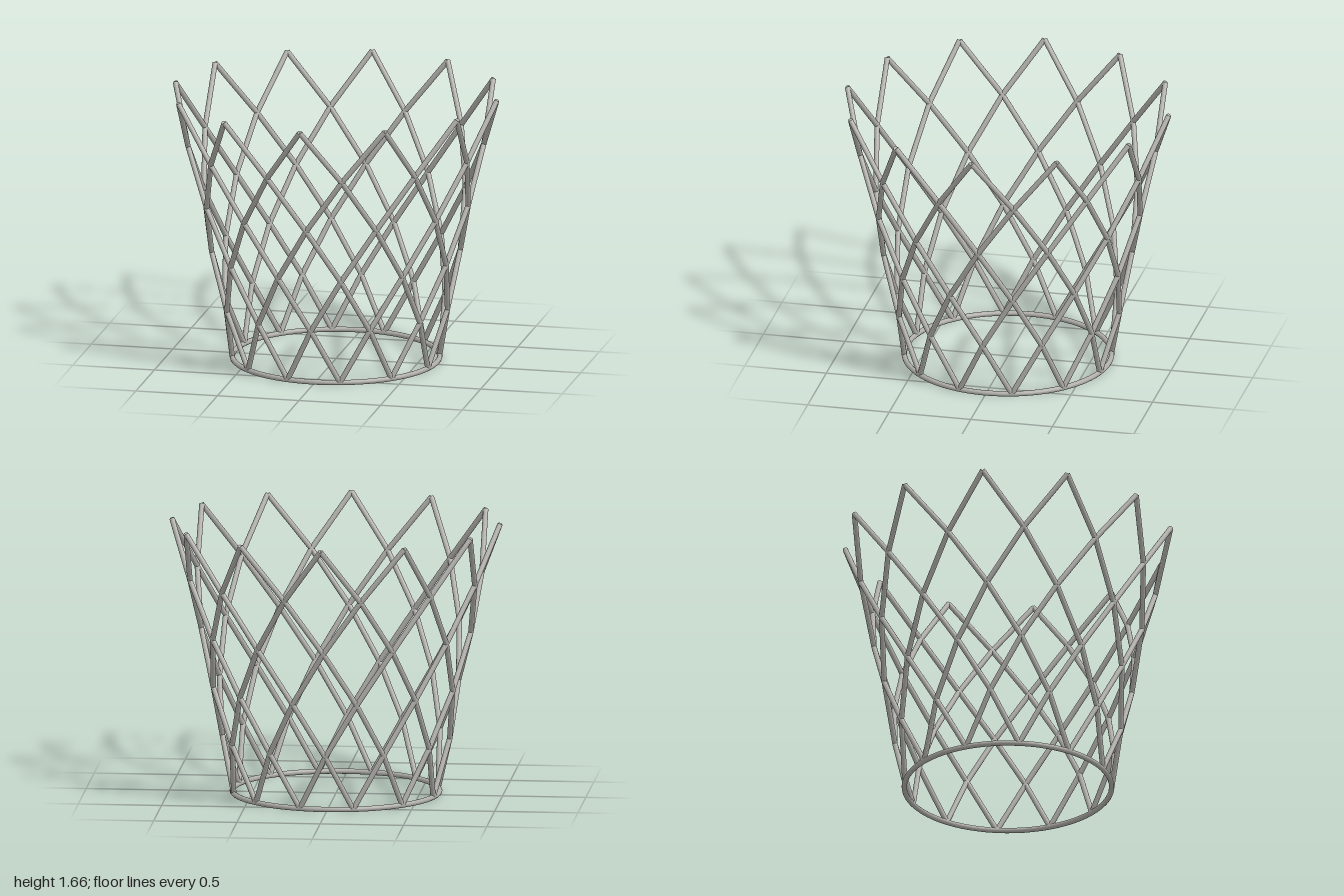
import * as THREE from 'three';

const SIDES = 12;
const ROD = 0.016;
const HEIGHTS = [0.016, 0.345, 0.67, 0.995, 1.322, 1.65];
const RADII = [0.62, 0.683, 0.744, 0.81, 0.885, 0.984];

export function createModel() {
  const model = new THREE.Group();
  model.name = 'latticeBasket';
  const metal = new THREE.MeshStandardMaterial({ color: 0xb0afaa });
  metal.name = 'warm grey metal';

  // Lattice node: odd levels sit on the main spokes, even ones half a step aside
  const node = (level, step) => {
    const a = (step * Math.PI) / SIDES;
    return new THREE.Vector3(Math.sin(a) * RADII[level], HEIGHTS[level], Math.cos(a) * RADII[level]);
  };

  // Straight round rod between two nodes
  const up = new THREE.Vector3(0, 1, 0);
  const addRod = (parent, from, to) => {
    const dir = to.clone().sub(from);
    const rod = new THREE.Mesh(new THREE.CylinderGeometry(ROD, ROD, dir.length(), 12), metal);
    rod.name = 'latticeRod';
    rod.position.copy(from).add(to).multiplyScalar(0.5);
    rod.quaternion.setFromUnitVectors(up, dir.normalize());
    parent.add(rod);
  };

  // Base ring
  const ring = new THREE.Mesh(new THREE.TorusGeometry(0.62, ROD, 12, 72), metal);
  ring.name = 'baseRing';
  ring.rotation.x = Math.PI / 2;
  ring.position.y = ROD;
  model.add(ring);

  // Diamond lattice: from every node one rod leans left and one right
  for (let level = 0; level < HEIGHTS.length - 1; level++) {
    const tier = new THREE.Group();
    tier.name = `latticeTier${level + 1}`;
    const offset = (level + 1) % 2;
    for (let i = 0; i < SIDES; i++) {
      const step = 2 * i + offset;
      for (const lean of [-1, 1]) addRod(tier, node(level, step), node(level + 1, step + lean));
    }
    model.add(tier);
  }
  return model;
}
